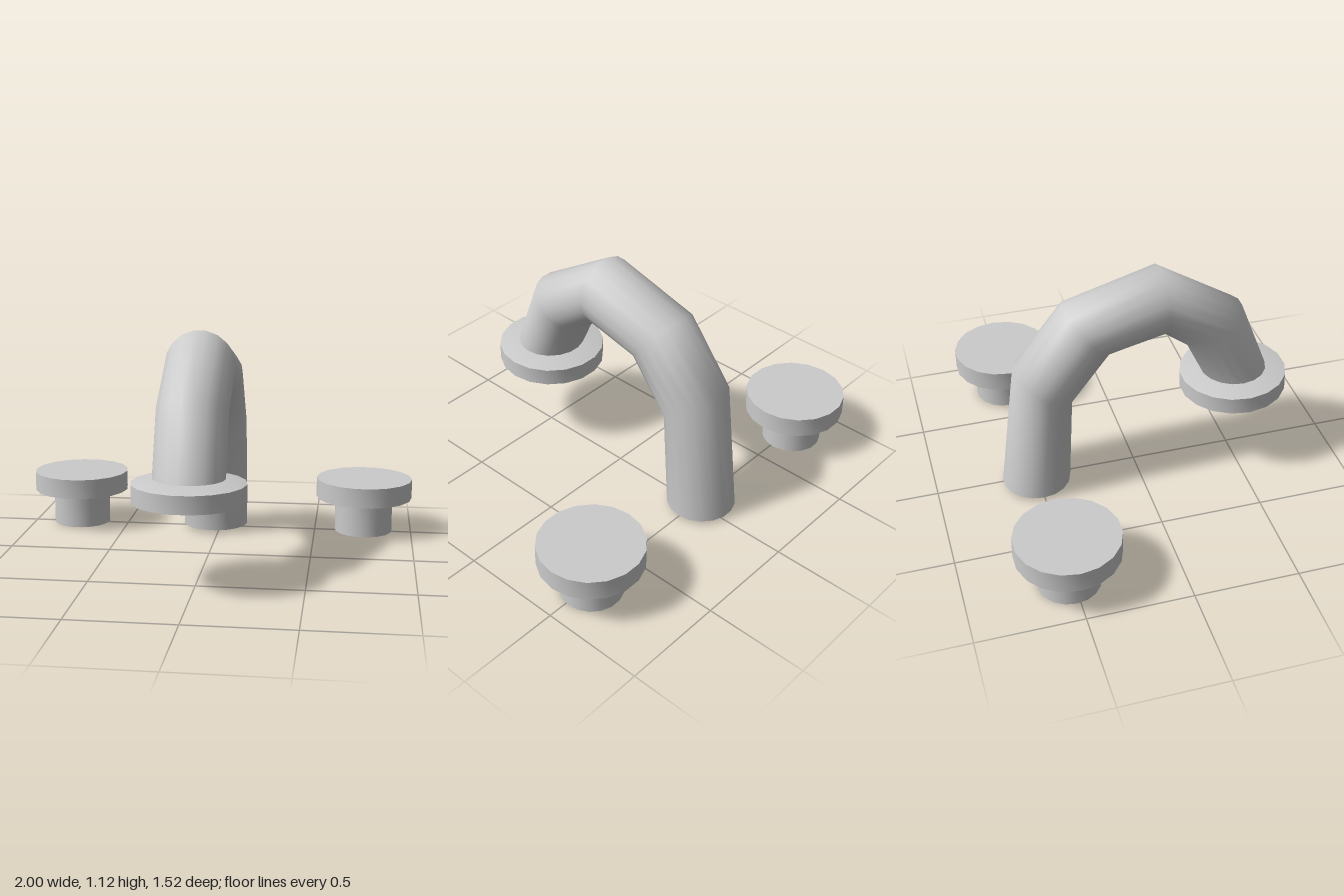
import * as THREE from 'three';
import { toCreasedNormals } from 'three/addons/utils/BufferGeometryUtils.js';

const SIDES = 18;
const material = new THREE.MeshStandardMaterial({ color: 0xcccccc });

// Turned part from a [radius, y] profile, bottom to top
function turned(name, profile) {
  const points = profile.map(([r, y]) => new THREE.Vector2(r, y));
  const geometry = new THREE.LatheGeometry(points, SIDES, Math.PI / 2);
  const mesh = new THREE.Mesh(toCreasedNormals(geometry, 0.7), material);
  mesh.name = name;
  return mesh;
}

// Bent pipe: each section runs from its inner to its outer [z, y] point
function bentPipe(sections, radius) {
  const positions = [];
  const index = [];
  sections.forEach(([inner, outer], i) => {
    for (let j = 0; j < SIDES; j++) {
      const a = (j / SIDES) * Math.PI * 2;
      const t = 0.5 + 0.5 * Math.sin(a);
      positions.push(
        radius * Math.cos(a),
        THREE.MathUtils.lerp(inner[1], outer[1], t),
        THREE.MathUtils.lerp(inner[0], outer[0], t)
      );
      if (i === sections.length - 1) continue;
      const k = (j + 1) % SIDES;
      const p = i * SIDES;
      const q = p + SIDES;
      index.push(p + j, p + k, q + j, p + k, q + k, q + j);
    }
  });
  const geometry = new THREE.BufferGeometry();
  geometry.setAttribute('position', new THREE.Float32BufferAttribute(positions, 3));
  geometry.setIndex(index);
  geometry.computeVertexNormals();
  return geometry;
}

export function createModel() {
  const model = new THREE.Group();
  model.name = 'tap';

  // Arched spout, from the base at the back to the outlet at the front
  const spout = new THREE.Group();
  spout.name = 'spout';
  spout.position.x = -0.027;
  const pipe = new THREE.Mesh(bentPipe([
    [[-0.341, 0.018], [-0.675, 0.018]],
    [[-0.317, 0.49], [-0.592, 0.675]],
    [[-0.133, 0.73], [-0.345, 0.985]],
    [[0.125, 0.788], [0.12, 1.12]],
    [[0.25, 0.69], [0.525, 0.87]],
    [[0.36, 0.46], [0.682, 0.46]]
  ], 0.167), material);
  pipe.name = 'spoutPipe';

  // Closed foot of the pipe
  const foot = new THREE.Mesh(new THREE.CircleGeometry(0.167, SIDES), material);
  foot.name = 'spoutFoot';
  foot.rotation.x = Math.PI / 2;
  foot.position.set(0, 0.018, -0.508);

  // Outlet collar, tipped very slightly
  const collar = turned('outletCollar', [
    [0, -0.045], [0.263, -0.045], [0.263, 0.039], [0.172, 0.06], [0, 0.06]
  ]);
  collar.position.set(0, 0.445, 0.503);
  collar.rotation.x = -0.018;
  spout.add(pipe, foot, collar);
  model.add(spout);

  // Mirrored pair of knobs: stem, flared underside and flat disc
  for (const side of [-1, 1]) {
    const knob = turned(side > 0 ? 'leftKnob' : 'rightKnob', [
      [0, 0], [0.148, 0], [0.148, 0.167], [0.247, 0.18], [0.247, 0.28], [0, 0.28]
    ]);
    knob.position.set(side * 0.753, 0, -0.518);
    model.add(knob);
  }
  return model;
}
